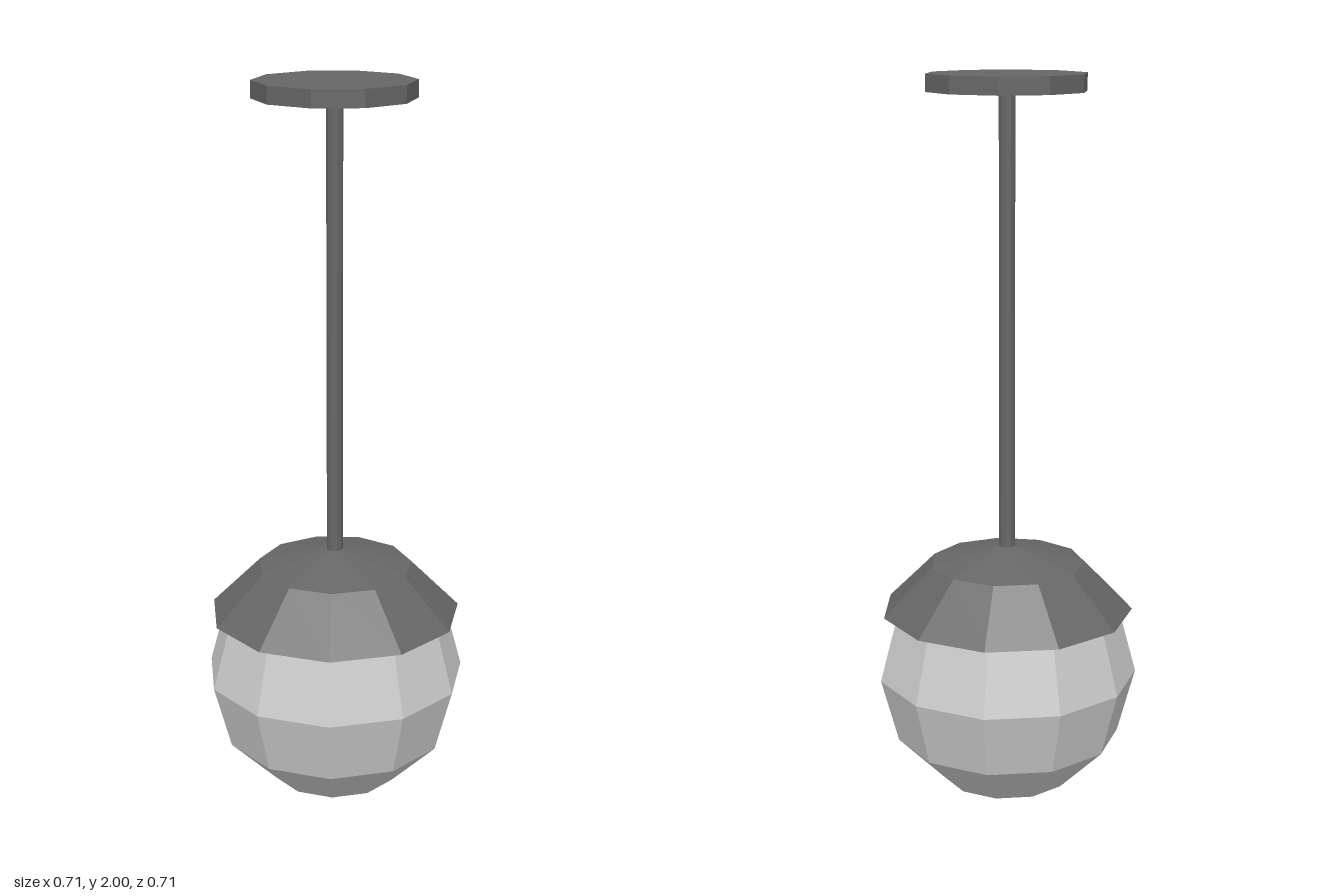
import * as THREE from 'three';

const CENTRE_Z = 0.005;

export function createModel() {
  const model = new THREE.Group();
  model.name = 'pendantLamp';

  const glass = new THREE.MeshStandardMaterial({ color: 0xcccccc, flatShading: true });
  const metal = new THREE.MeshStandardMaterial({ color: 0x666666, flatShading: true });

  const add = (name, geometry, material, y = 0) => {
    const mesh = new THREE.Mesh(geometry, material);
    mesh.name = name;
    mesh.position.set(0, y, CENTRE_Z);
    model.add(mesh);
  };

  // Eleven-sided turned body with one corner pointing to the back
  const turned = (profile) =>
    new THREE.LatheGeometry(profile.map(([r, y]) => new THREE.Vector2(r, y)), 11, Math.PI);

  // Faceted globe
  const R = 0.36;
  const globe = [];
  for (let i = 0; i <= 6; i++) {
    const a = (i / 6) * Math.PI;
    globe.push([R * Math.sin(a), R - R * Math.cos(a)]);
  }
  add('globe', turned(globe), glass);

  // Cap over the globe, with a flat underside at the rim
  add('cap', turned([[0.29, 0.543], [0.348, 0.543], [0.213, 0.679], [0, 0.73]]), metal);

  // Hanging rod
  add('rod', new THREE.CylinderGeometry(0.022, 0.022, 1.25, 10), metal, 1.335);

  // Ceiling plate
  add('ceilingPlate', new THREE.CylinderGeometry(0.214, 0.214, 0.046, 10), metal, 1.977);

  return model;
}
